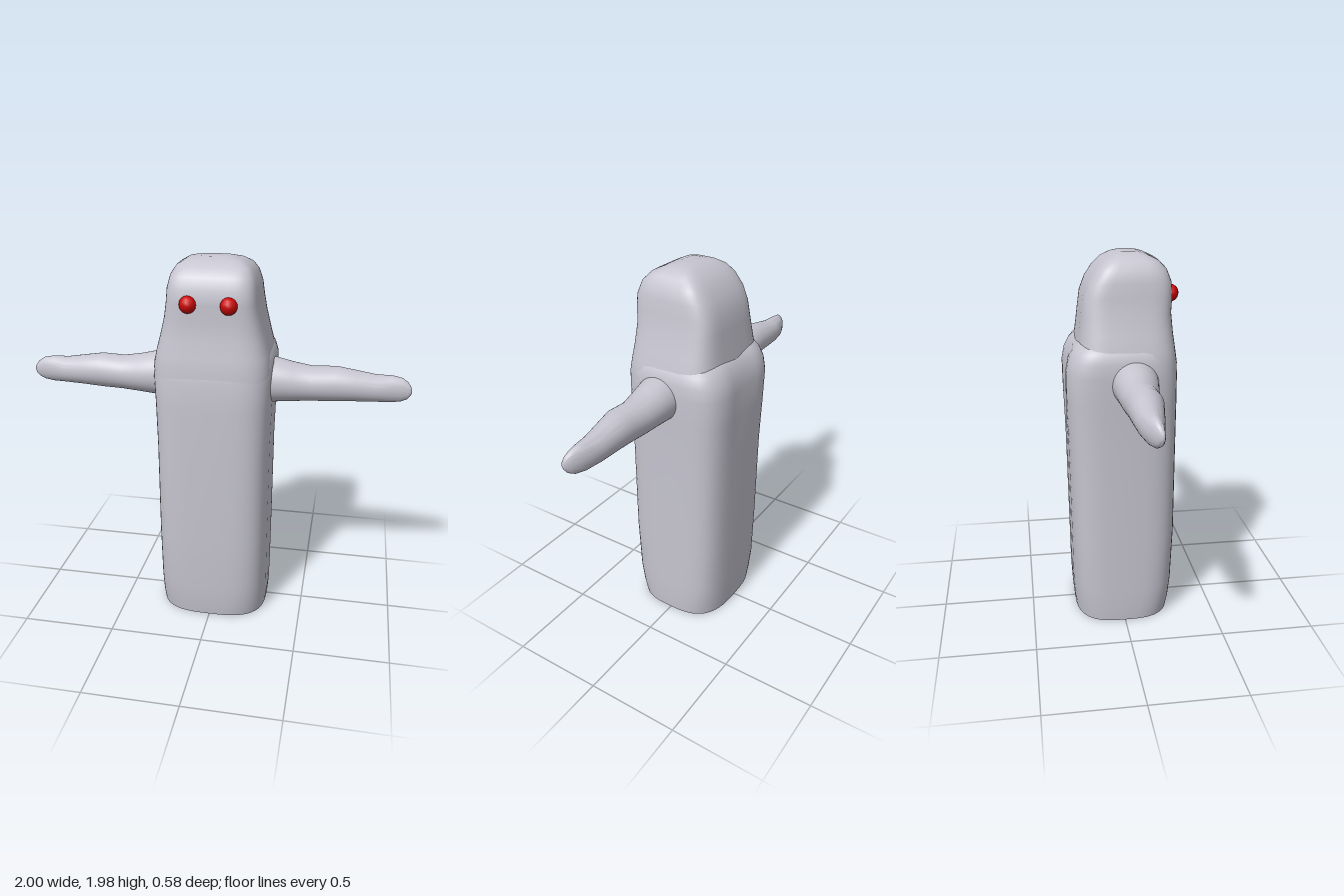
import * as THREE from 'three';
import { toCreasedNormals } from 'three/addons/utils/BufferGeometryUtils.js';

const SIDES = 48;
const skin = new THREE.MeshStandardMaterial({ color: 0xc6c5d0 });
skin.name = 'pale grey';
const red = new THREE.MeshStandardMaterial({ color: 0xcc0505 });
red.name = 'eye red';

// Rounded-square (superellipse) ring as [u, w] pairs; n = squareness
function ring(u0, u1, w0, w1, n) {
  const pow = (v) => Math.sign(v) * Math.abs(v) ** (2 / n);
  return Array.from({ length: SIDES }, (_, j) => {
    const t = (j / SIDES) * Math.PI * 2;
    return [(u0 + u1) / 2 + ((u1 - u0) / 2) * pow(Math.cos(t)),
      (w0 + w1) / 2 + ((w1 - w0) / 2) * pow(Math.sin(t))];
  });
}

// Skin a list of rings of [x, y, z] points and close both ends
function loft(rings, crease) {
  const pos = rings.flat(2), index = [];
  for (let i = 0; i < rings.length - 1; i++) {
    for (let j = 0; j < SIDES; j++) {
      const k = (j + 1) % SIDES;
      const a = i * SIDES + j, b = i * SIDES + k, c = a + SIDES, d = b + SIDES;
      index.push(a, c, b, b, c, d);
    }
  }
  for (const end of [0, rings.length - 1]) {
    const centre = pos.length / 3;
    for (let m = 0; m < 3; m++) pos.push(rings[end].reduce((s, p) => s + p[m], 0) / SIDES);
    for (let j = 0; j < SIDES; j++) {
      const a = end * SIDES + j, b = end * SIDES + ((j + 1) % SIDES);
      index.push(centre, ...(end === 0 ? [a, b] : [b, a]));
    }
  }
  const geo = new THREE.BufferGeometry();
  geo.setAttribute('position', new THREE.Float32BufferAttribute(pos, 3));
  geo.setIndex(index);
  return toCreasedNormals(geo, crease);
}

function addMesh(group, name, geo, material) {
  const mesh = new THREE.Mesh(geo, material);
  mesh.name = name;
  group.add(mesh);
  return mesh;
}

// Rows: height, half width, back z, front z, squareness
const BODY = [
  [0.01, 0.295, -0.255, 0.265, 3],
  [0.08, 0.3, -0.262, 0.275, 3.2],
  [0.2, 0.3, -0.268, 0.282, 3.7],
  [0.5, 0.3, -0.272, 0.29, 4],
  [1.0, 0.3, -0.28, 0.29, 4],
  [1.25, 0.305, -0.29, 0.29, 4],
  [1.4, 0.311, -0.293, 0.288, 4],
  [1.47, 0.308, -0.28, 0.275, 4],
  [1.52, 0.295, -0.255, 0.255, 4],
  [1.555, 0.27, -0.225, 0.22, 4],
  [1.575, 0.23, -0.18, 0.17, 4],
];
const HEAD = [
  [1.3, 0.295, -0.24, 0.285, 4.2],
  [1.45, 0.305, -0.235, 0.284, 4.2],
  [1.52, 0.292, -0.226, 0.274, 4.3],
  [1.6, 0.27, -0.215, 0.262, 4.5],
  [1.7, 0.245, -0.203, 0.252, 4.8],
  [1.78, 0.231, -0.192, 0.257, 5],
  [1.85, 0.224, -0.165, 0.252, 5],
  [1.91, 0.208, -0.125, 0.228, 5],
  [1.95, 0.182, -0.085, 0.188, 5],
  [1.975, 0.14, -0.04, 0.135, 4.5],
  [1.988, 0.085, 0.0, 0.09, 4],
];
// Rows: distance from centre, bottom y, top y, back z, front z
const ARM = [
  [0.24, 1.25, 1.485, -0.07, 0.165],
  [0.31, 1.25, 1.482, -0.07, 0.163],
  [0.4, 1.257, 1.46, -0.062, 0.148],
  [0.5, 1.263, 1.442, -0.056, 0.13],
  [0.62, 1.268, 1.449, -0.049, 0.128],
  [0.72, 1.272, 1.432, -0.043, 0.11],
  [0.82, 1.274, 1.415, -0.035, 0.093],
  [0.9, 1.275, 1.415, -0.02, 0.076],
  [0.95, 1.283, 1.407, 0.0, 0.066],
  [0.98, 1.3, 1.388, 0.02, 0.062],
  [0.995, 1.322, 1.366, 0.037, 0.058],
  [1.0, 1.338, 1.35, 0.045, 0.055],
];

export function createModel() {
  const model = new THREE.Group();
  model.name = 'hoodedFigure';

  // Body, with a shallow hollow down the upper back
  const bodyRings = BODY.map(([y, w, back, front, n]) =>
    ring(-w, w, back, front, n).map(([x, z]) => {
      const hollow = z < -0.1 ? 0.018 * Math.max(0, 1 - Math.abs(x) / 0.15) : 0;
      return [x, y, z + hollow * THREE.MathUtils.smoothstep(y, 1.1, 1.45)];
    }));
  addMesh(model, 'body', loft(bodyRings, 1), skin);

  // Head rising out of the body
  const headRings = HEAD.map(([y, w, back, front, n]) =>
    ring(-w, w, back, front, n).map(([x, z]) => [x, y, z]));
  addMesh(model, 'head', loft(headRings, 1), skin);

  // Mirrored arms and eyes
  for (const side of [1, -1]) {
    const label = side > 0 ? 'left' : 'right';
    const armRings = ARM.map(([x, y0, y1, z0, z1]) => {
      const section = ring(z0, z1, y0, y1, 2).map(([z, y]) => [side * x, y, z]);
      return side > 0 ? section : section.reverse();
    });
    addMesh(model, label + 'Arm', loft(armRings, 1.2), skin);

    const eye = addMesh(model, label + 'Eye', new THREE.SphereGeometry(0.044, 12, 8), red);
    eye.position.set(side * 0.1, 1.785, 0.25);
  }
  return model;
}
